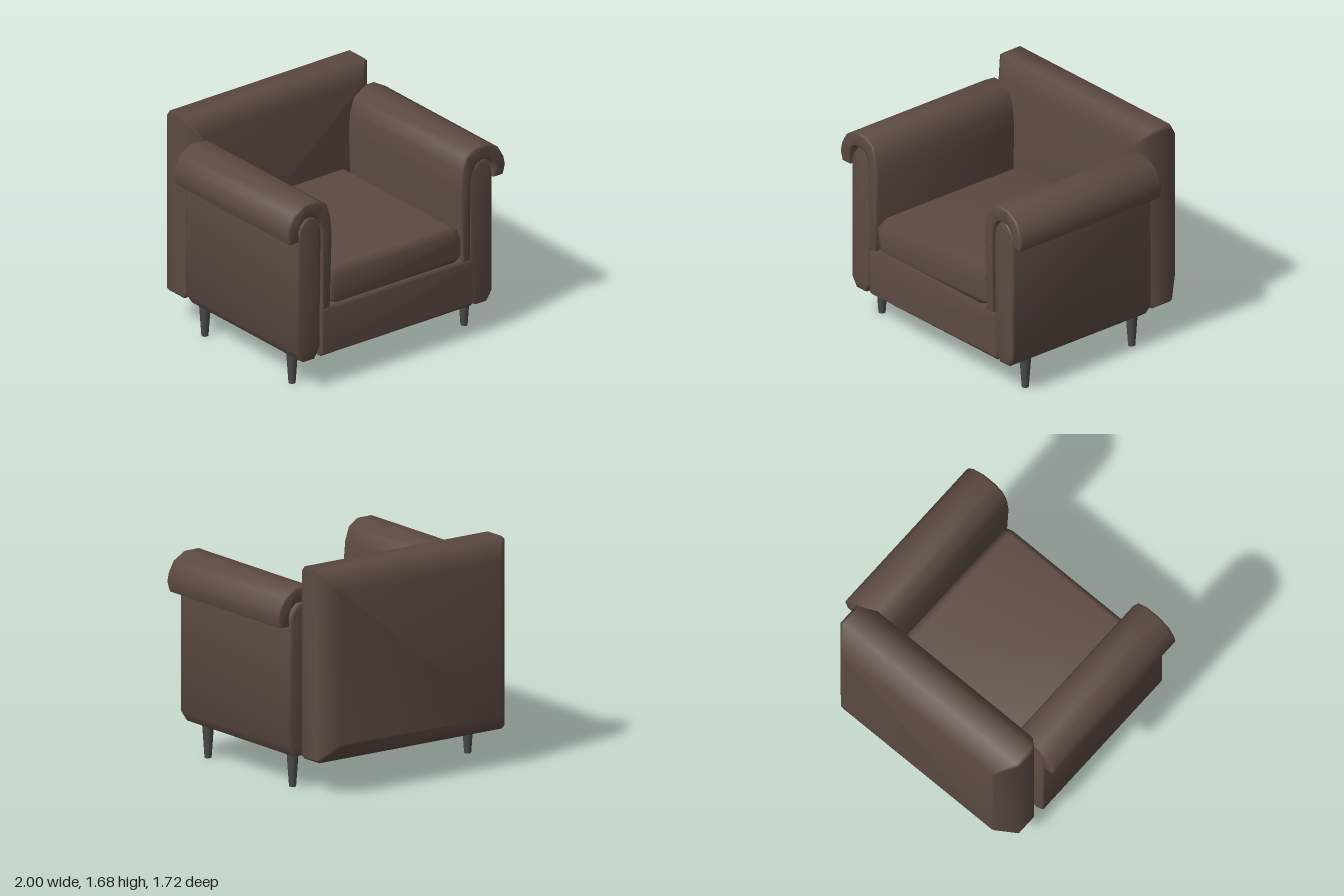
import * as THREE from 'three';
import { toCreasedNormals } from 'three/addons/utils/BufferGeometryUtils.js';

const leather = new THREE.MeshStandardMaterial({ color: 0x5c4a42 });
leather.name = 'brown leather';
const legMetal = new THREE.MeshStandardMaterial({ color: 0x4a4a4a });
legMetal.name = 'dark grey leg';

function mesh(name, geometry, material = leather) {
  const m = new THREE.Mesh(geometry, material);
  m.name = name;
  return m;
}

// Soft padded block: chamfered rectangles lofted from back to front.
// Each section is [z, x0, x1, y0, y1, cornerX, cornerY]
function pad(sections) {
  const pos = [], idx = [], n = 8;
  for (const [z, x0, x1, y0, y1, cx, cy] of sections) {
    const ring = [
      [x0 + cx, y0], [x1 - cx, y0], [x1, y0 + cy], [x1, y1 - cy],
      [x1 - cx, y1], [x0 + cx, y1], [x0, y1 - cy], [x0, y0 + cy],
    ];
    for (const [x, y] of ring) pos.push(x, y, z);
  }
  const last = (sections.length - 1) * n;
  for (let s = 0; s < last; s += n) {
    for (let i = 0; i < n; i++) {
      const a = s + i, b = s + (i + 1) % n;
      idx.push(a, b, b + n, a, b + n, a + n);
    }
  }
  // End caps
  for (let i = 1; i < n - 1; i++) {
    idx.push(0, i + 1, i);
    idx.push(last, last + i, last + i + 1);
  }
  const g = new THREE.BufferGeometry();
  g.setAttribute('position', new THREE.Float32BufferAttribute(pos, 3));
  g.setIndex(idx);
  g.computeVertexNormals();
  return g;
}

// Profile in x/y drawn out along z, with softened ends
function slab(points, side, z0, z1, bevel) {
  const shape = new THREE.Shape(points.map(([x, y]) => new THREE.Vector2(x * side, y)));
  const g = new THREE.ExtrudeGeometry(shape, {
    depth: z1 - z0 - 2 * bevel, bevelEnabled: true, bevelThickness: bevel,
    bevelSize: bevel, bevelOffset: -bevel, bevelSegments: 2,
  });
  g.translate(0, 0, z0 + bevel);
  return toCreasedNormals(g, 0.9);
}

const panelProfile = [
  [0.74, 0.245], [0.84, 0.245], [0.89, 0.32], [0.89, 1.25], [0.875, 1.32],
  [0.83, 1.38], [0.785, 1.395], [0.74, 1.38], [0.695, 1.32], [0.68, 1.25], [0.69, 0.33],
];

const rollProfile = [
  [0.61, 0.625], [0.68, 0.625], [0.683, 1.25], [0.7, 1.32], [0.735, 1.375], [0.785, 1.397],
  [0.84, 1.39], [0.88, 1.355], [0.9, 1.3], [0.895, 1.225], [0.978, 1.225], [1, 1.3], [0.985, 1.37],
  [0.94, 1.45], [0.84, 1.508], [0.72, 1.508], [0.64, 1.455], [0.605, 1.35], [0.592, 1.2],
];

export function createModel() {
  const chair = new THREE.Group();
  chair.name = 'armchair';

  // Tall backrest reaching down behind the seat
  chair.add(mesh('backrest', pad([
    [-0.86, -0.745, 0.715, 0.38, 1.54, 0.02, 0.02],
    [-0.725, -0.865, 0.835, 0.245, 1.68, 0.025, 0.025],
    [-0.555, -0.865, 0.835, 0.245, 1.68, 0.025, 0.025],
    [-0.455, -0.765, 0.735, 0.34, 1.55, 0.02, 0.02],
  ])));

  // Seat base
  chair.add(mesh('seatBase', pad([
    [-0.49, -0.69, 0.7, 0.25, 0.62, 0.015, 0.015],
    [0.82, -0.69, 0.715, 0.245, 0.632, 0.015, 0.015],
    [0.85, -0.68, 0.705, 0.27, 0.605, 0.015, 0.015],
  ])));

  // Loose seat cushion
  chair.add(mesh('seatCushion', pad([
    [-0.49, -0.6, 0.6, 0.63, 0.91, 0.06, 0.05],
    [0.79, -0.6, 0.6, 0.63, 0.91, 0.06, 0.05],
    [0.84, -0.595, 0.595, 0.645, 0.86, 0.05, 0.04],
  ])));

  // Arms: upright panel with a padded roll folded over it
  for (const side of [-1, 1]) {
    const arm = new THREE.Group();
    arm.name = side > 0 ? 'leftArm' : 'rightArm';
    arm.add(mesh('armPanel', slab(panelProfile, side, -0.485, 0.84, 0.02)));
    arm.add(mesh('armRoll', slab(rollProfile, side, -0.49, 0.855, 0.015)));
    chair.add(arm);

    // Tapered legs
    for (const z of [0.635, -0.38]) {
      const leg = mesh(z > 0 ? 'frontLeg' : 'backLeg',
        new THREE.CylinderGeometry(0.045, 0.026, 0.27, 16), legMetal);
      leg.position.set(side * 0.79, 0.135, z);
      chair.add(leg);
    }
  }
  return chair;
}
